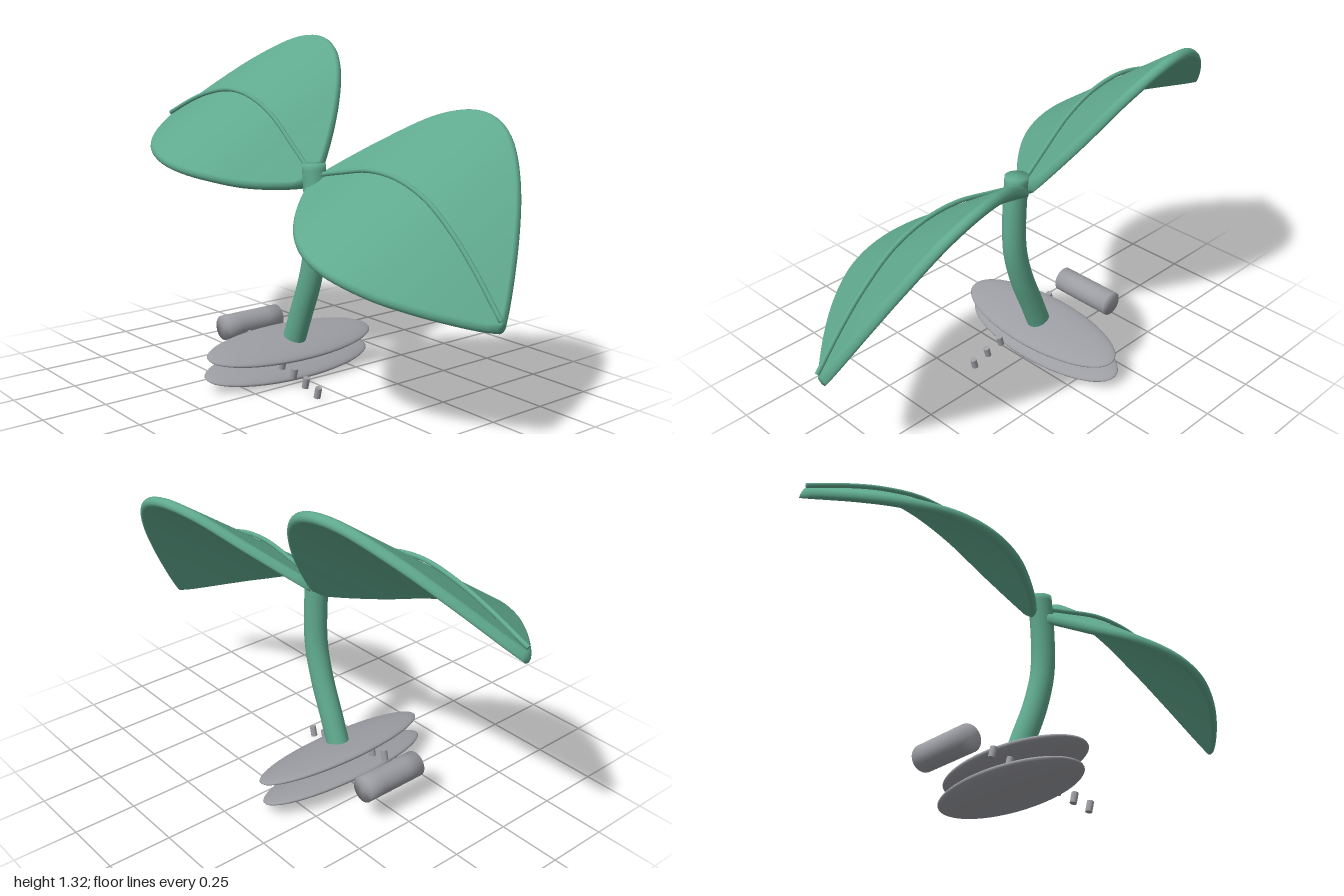
import * as THREE from 'three';

const TILT = -14 * Math.PI / 180;

// Closed, smooth skin through rings that run counterclockwise about the travel direction
function loft(rings) {
  const m = rings[0].length, n = rings.length, pos = [], idx = [];
  rings.forEach(r => r.forEach(p => pos.push(p.x, p.y, p.z)));
  for (const r of [rings[0], rings[n - 1]]) {
    const c = new THREE.Vector3();
    r.forEach(p => c.addScaledVector(p, 1 / m));
    pos.push(c.x, c.y, c.z);
  }
  const start = n * m, end = start + 1, last = (n - 1) * m;
  for (let j = 0; j < m; j++) {
    const k = (j + 1) % m;
    for (let i = 0; i < n - 1; i++) {
      const a = i * m + j, b = i * m + k;
      idx.push(a, b, a + m, b, b + m, a + m);
    }
    idx.push(start, k, j, end, last + j, last + k);
  }
  const g = new THREE.BufferGeometry();
  g.setAttribute('position', new THREE.Float32BufferAttribute(pos, 3));
  g.setIndex(idx);
  g.computeVertexNormals();
  return g;
}

function curveOf(points) {
  return new THREE.CatmullRomCurve3(points.map(([x, y]) => new THREE.Vector3(x, y, 0)));
}

// Solid rod along a curve in the xy plane with an elliptical section
function rod(curve, r, rz, steps, sides) {
  const rings = [];
  for (let i = 0; i <= steps; i++) {
    const p = curve.getPoint(i / steps), t = curve.getTangent(i / steps);
    rings.push(Array.from({ length: sides }, (_, j) => {
      const a = j / sides * Math.PI * 2;
      return new THREE.Vector3(p.x + t.y * r * Math.cos(a), p.y - t.x * r * Math.cos(a), -rz * Math.sin(a));
    }));
  }
  return loft(rings);
}

// Arched blade, sloping down to the front, with a rounded rim
function blade(curve, side, tipX) {
  const halfWidth = 0.41, r = 0.02, slope = 35 * Math.PI / 180;
  const steps = 48, arc = 8, rings = [];
  for (let i = 0; i <= steps; i++) {
    const p = curve.getPoint(i / steps);
    const u = THREE.MathUtils.clamp(Math.abs(p.x) / tipX, 0, 1);
    const w = halfWidth * Math.pow(Math.max(0, Math.sin(Math.PI * Math.pow(u, 0.95))), 0.92);
    const ring = [];
    for (const end of [1, -1]) {
      for (let j = 0; j <= arc; j++) {
        const a = (j / arc + (end < 0 ? 1 : 0)) * Math.PI;
        const s = end * w + r * Math.sin(a), n = r * Math.cos(a);
        ring.push(new THREE.Vector3(p.x,
          p.y - 0.028 + n * Math.cos(slope) - s * Math.sin(slope),
          -0.02 + n * Math.sin(slope) + s * Math.cos(slope)));
      }
    }
    if (side < 0) ring.reverse();
    rings.push(ring);
  }
  return loft(rings);
}

export function createModel() {
  const model = new THREE.Group();
  model.name = 'sprout';
  const green = new THREE.MeshStandardMaterial({ color: 0x5fa98e });
  green.name = 'leaf green';
  const grey = new THREE.MeshStandardMaterial({ color: 0x9c9da3 });
  grey.name = 'base grey';

  const add = (parent, name, geometry, material, x = 0, y = 0, z = 0) => {
    const mesh = new THREE.Mesh(geometry, material);
    mesh.name = name;
    mesh.position.set(x, y, z);
    parent.add(mesh);
    return mesh;
  };

  // Curved stem
  const stemPath = curveOf([[-0.095, 0.13], [-0.045, 0.26], [0.01, 0.4], [0.045, 0.54], [0.049, 0.68], [0.035, 0.865]]);
  add(model, 'stem', rod(stemPath, 0.048, 0.043, 40, 28), green, 0, 0, -0.003);

  // Pair of mirrored leaves, leaning together with the base
  const leaves = new THREE.Group();
  leaves.name = 'leaves';
  leaves.position.set(0.02, 0.814, 0);
  leaves.rotation.z = TILT;
  model.add(leaves);
  const tipX = 1.02;
  const rib = [[0.015, 0.01], [0.15, 0.075], [0.3, 0.14], [0.45, 0.165], [0.6, 0.148], [0.75, 0.085], [0.87, 0.013], [tipX, -0.095]];
  for (const side of [1, -1]) {
    const name = side > 0 ? 'left' : 'right';
    const path = curveOf(rib.map(([x, y]) => [side * x, y]));
    add(leaves, name + 'Leaf', blade(path, side, tipX), green);
    add(leaves, name + 'LeafRib', rod(path, 0.009, 0.008, 48, 10), green, 0, 0, -0.008);
  }

  // Two flattened discs
  const base = new THREE.Group();
  base.name = 'base';
  base.position.set(-0.11, 0.094, 0);
  base.rotation.z = TILT;
  model.add(base);
  const disc = new THREE.SphereGeometry(1, 48, 24);
  for (const [name, y] of [['upperDisc', 0.042], ['lowerDisc', -0.042]]) {
    add(base, name, disc, grey, 0, y).scale.set(0.134, 0.028, 0.391);
  }

  // Row of small pegs through the front of the base
  const peg = new THREE.CylinderGeometry(0.013, 0.013, 0.042, 16);
  for (let i = -3; i <= 3; i++) {
    add(base, 'peg', peg, grey, 0.076 + i * 0.0755, 0.005, 0.094);
  }

  // Loose roller lying beside the base
  const roller = rod(curveOf([[0, -0.135], [0, 0], [0, 0.135]]), 0.051, 0.051, 4, 32);
  roller.rotateX(Math.PI / 2);
  add(model, 'roller', roller, grey, -0.385, 0.147, 0);

  return model;
}
